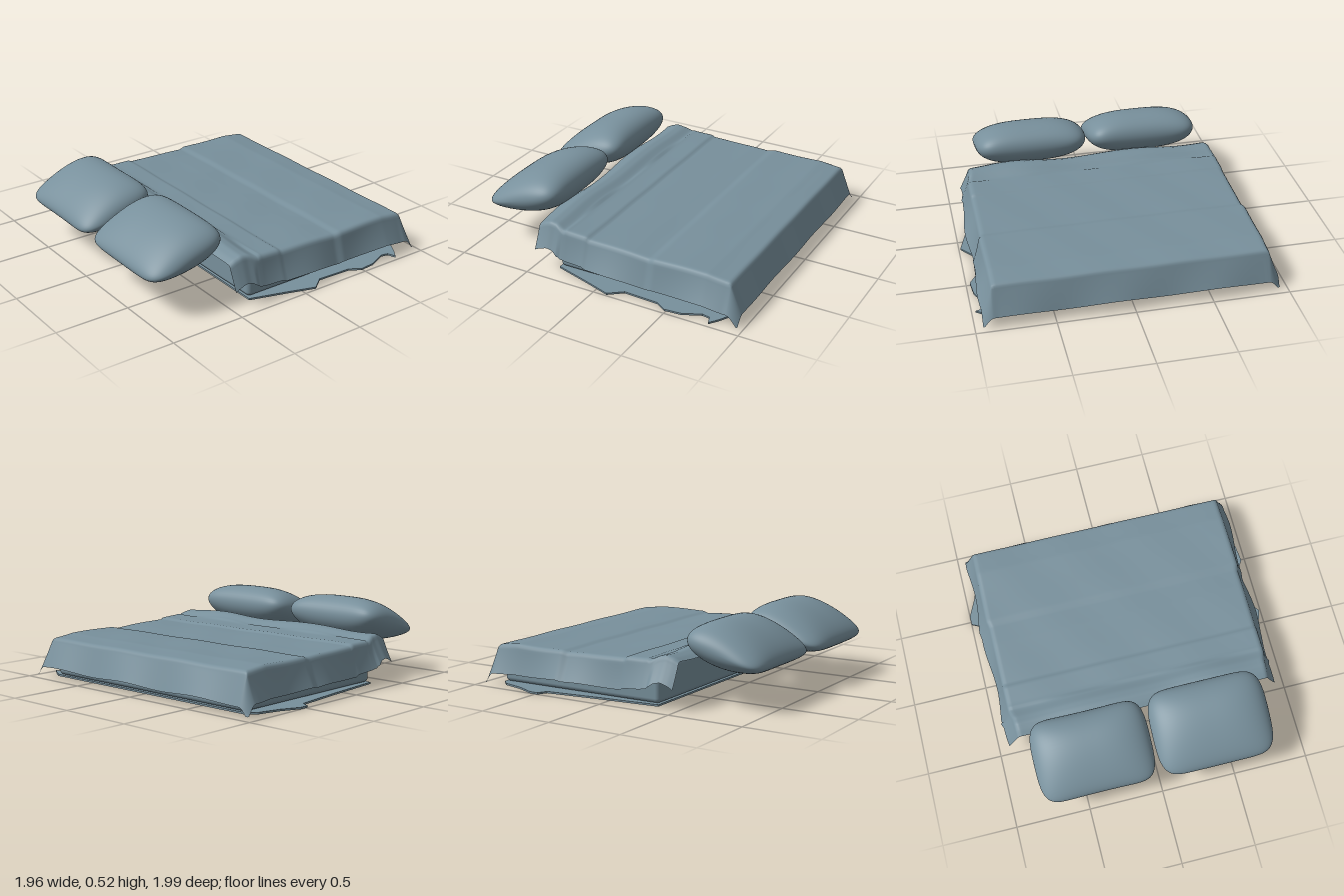
import * as THREE from 'three';
import { mergeVertices } from 'three/addons/utils/BufferGeometryUtils.js';
import { RoundedBoxGeometry } from 'three/addons/geometries/RoundedBoxGeometry.js';

const clothBlue = new THREE.MeshStandardMaterial({ color: 0x78909c, side: THREE.DoubleSide });
clothBlue.name = 'clothBlue';

// Piecewise linear lookup through [x, value] pairs
function lookup(points, x) {
  if (x <= points[0][0]) return points[0][1];
  for (let i = 1; i < points.length; i++) {
    const [x0, v0] = points[i - 1], [x1, v1] = points[i];
    if (x <= x1) return THREE.MathUtils.lerp(v0, v1, (x - x0) / (x1 - x0));
  }
  return points[points.length - 1][1];
}

// Height of the cover from head to foot: raised turned-back band, then steps
const topHeight = [
  [-0.49, 0.29], [-0.45, 0.312], [-0.4, 0.33], [-0.35, 0.324], [-0.3, 0.302], [-0.25, 0.295],
  [-0.125, 0.291], [-0.105, 0.279], [0.2, 0.274], [0.33, 0.268], [0.37, 0.278], [0.73, 0.278],
  [0.78, 0.272], [0.88, 0.262],
];

// Cloth running over a rounded edge: returns how far out and down it has gone
function fold(s, flare) {
  const r = 0.03, arc = r * 1.4;
  if (s <= 0) return { out: 0, down: 0, hang: 0 };
  if (s < arc) return { out: r * Math.sin(s / r), down: r * (1 - Math.cos(s / r)), hang: 0 };
  const t = s - arc;
  return { out: r * Math.sin(1.4) + flare * t, down: r * (1 - Math.cos(1.4)) + t, hang: t / 0.17 };
}

function makeCover() {
  const g = new THREE.PlaneGeometry(2, 2, 130, 150).rotateX(-Math.PI / 2);
  const p = g.attributes.position;
  const head = -0.49, foot = 0.865, skirt = 0.21;
  for (let i = 0; i < p.count; i++) {
    const a = THREE.MathUtils.lerp(head, foot + skirt, (p.getX(i) + 1) / 2);
    const along = Math.min(a, foot);
    const side = Math.sign(p.getZ(i)) || 1;
    const edge = lookup([[-0.49, 0.83], [-0.36, 0.835], [-0.3, 0.852], [0.32, 0.852], [0.37, 0.862], [0.865, 0.855]], along);
    const hemLength = lookup([[-0.49, 0.18], [-0.36, 0.185], [-0.3, 0.2], [0.865, 0.205]], along);
    const b = Math.abs(p.getZ(i)) * (edge + hemLength);
    const fx = fold(a - foot, 0.42);
    const fz = fold(b - edge, along < -0.32 ? 0.36 : 0.28);
    const z = side * Math.min(b, edge);

    // Wavy hems and soft wrinkles on top
    const waveX = Math.sin(along * 9 + side) * fz.hang, waveZ = Math.sin(z * 10 + 0.6) * fx.hang;
    let y = lookup(topHeight, along) - Math.hypot(fx.down, fz.down);
    y += 0.008 * (waveX + waveZ);
    const flat = 1 - Math.min(1, fx.hang + fz.hang);
    y += flat * 0.003 * Math.sin(along * 11 + z * 5) * Math.sin(z * 7 - along * 3);
    if (along < -0.28) y += flat * 0.008 * Math.sin(z * 8 + along * 6);
    const headWave = along < -0.4 ? 0.008 * Math.sin(z * 7 + 1) * (-0.4 - along) / 0.09 : 0;
    p.setXYZ(i, Math.min(a, foot) + fx.out + 0.008 * waveZ + headWave, Math.max(0.015, y),
      z + side * (fz.out + 0.014 * waveX + 0.012 * fz.hang * fz.hang));
  }
  g.computeVertexNormals();
  return g;
}

// Cushion: rounded oblong outline with a lens-shaped, tapering section
function makePillow(halfWidth, halfThickness, halfLength, waist) {
  let g = new THREE.SphereGeometry(1, 56, 48).rotateX(Math.PI / 2);
  const p = g.attributes.position;
  for (let i = 0; i < p.count; i++) {
    const t = THREE.MathUtils.clamp(p.getZ(i), -1, 1);
    const angle = Math.atan2(p.getY(i), p.getX(i));
    const u = Math.cos(angle), v = Math.sin(angle);
    const w = Math.pow(Math.max(0, 1 - t ** 8), 0.3) * (1 - waist * (1 - t * t));
    const th = Math.sqrt(Math.max(0, 1 - Math.abs(t) ** 3));
    p.setXYZ(i, u * halfWidth * w, v * halfThickness * th * (1 + 0.25 * u), t * halfLength);
  }
  g.deleteAttribute('uv');
  g.deleteAttribute('normal');
  g = mergeVertices(g, 1e-4);
  g.computeVertexNormals();
  return g;
}

export function createModel() {
  const model = new THREE.Group();
  const add = (name, geometry) => {
    const mesh = new THREE.Mesh(geometry, clothBlue);
    mesh.name = name;
    model.add(mesh);
    return mesh;
  };

  add('cover', makeCover());

  // Mattress body under the cover
  add('mattress', new RoundedBoxGeometry(1.21, 0.235, 1.7, 4, 0.03)).position.set(0.265, 0.13, 0);

  // Loose sheet folds spread on the floor, with pointed corners
  const outline = [
    [-0.34, 0.86], [-0.1, 0.93], [0.09, 0.99], [0.18, 0.92], [0.42, 0.93], [0.49, 0.975], [0.6, 0.965],
    [0.72, 0.91], [0.77, 0.92], [0.79, 0.975], [0.83, 0.92], [0.87, 0.85], [0.87, -0.85], [0.82, -0.9],
    [0.67, -0.94], [0.54, -1], [0.48, -1], [0.45, -0.94], [0.1, -0.9], [-0.34, -0.86],
  ];
  const shape = new THREE.Shape(outline.map(([x, z]) => new THREE.Vector2(x, z)));
  const sheet = new THREE.ExtrudeGeometry(shape, { depth: 0.012, bevelEnabled: false });
  add('floorSheet', sheet.rotateX(Math.PI / 2)).position.y = 0.012;

  // Two pillows tilted up toward the bed
  [
    ['leftPillow', 0.283, 0.39, 0.392, 0],
    ['rightPillow', 0.278, -0.405, 0.388, 0.04],
  ].forEach(([name, halfWidth, z, halfLength, waist]) => {
    const pillow = add(name, makePillow(halfWidth, 0.137, halfLength, waist));
    pillow.position.set(-0.71, 0.348, z);
    pillow.rotation.z = 0.29;
  });

  return model;
}
